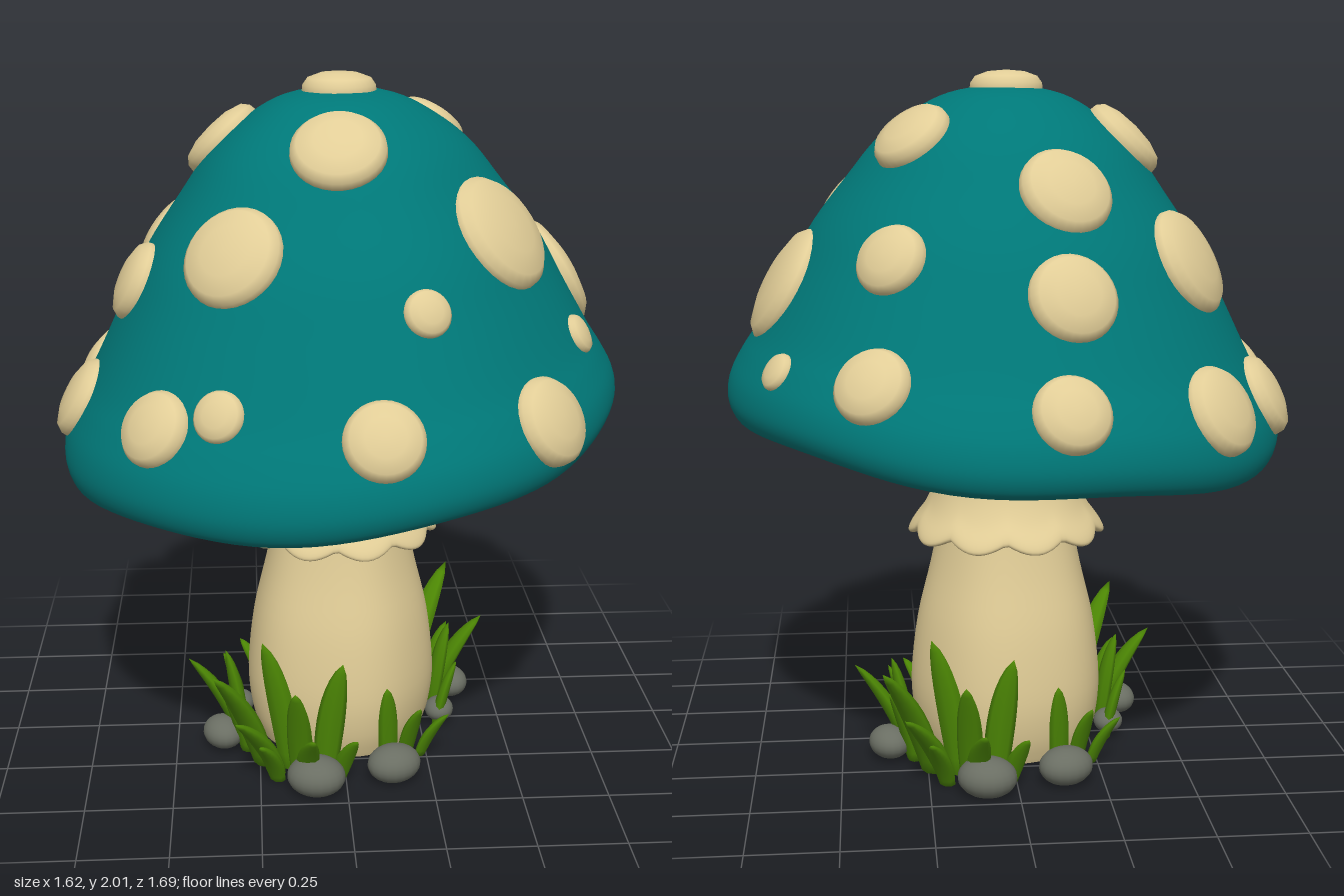
import * as THREE from 'three';
import { mergeVertices } from 'three/addons/utils/BufferGeometryUtils.js';

const V2 = (p) => new THREE.Vector2(p[0], p[1]);
const material = (name, color) => {
  const m = new THREE.MeshStandardMaterial({ color });
  m.name = name;
  return m;
};

// Move every vertex by a rule, then weld and smooth
function warp(geometry, rule) {
  const pos = geometry.attributes.position;
  const v = new THREE.Vector3();
  for (let i = 0; i < pos.count; i++) {
    v.fromBufferAttribute(pos, i);
    rule(v);
    pos.setXYZ(i, v.x, v.y, v.z);
  }
  geometry.deleteAttribute('uv');
  geometry.deleteAttribute('normal');
  const welded = mergeVertices(geometry, 1e-5);
  welded.computeVertexNormals();
  return welded;
}

// Cap: radius r and height h are fractions of a tilted, uneven rim
const TOP = 1.965;
const rimY = (a) => 0.945 + 0.073 * Math.sin(a) - 0.012 * Math.cos(a) - 0.015 * Math.cos(2 * a)
  + 0.009 * Math.cos(6 * (a - 1.34));
const rimR = (a) => 0.822 + 0.02 * Math.cos(2 * a) - 0.016 * Math.sin(2 * a) + 0.006 * Math.sin(5 * a);
function capPoint(a, r, h) {
  const R = rimR(a) * r, y0 = rimY(a);
  return new THREE.Vector3(Math.sin(a) * R, y0 + (TOP - y0) * h, Math.cos(a) * R);
}
const capCurve = new THREE.SplineCurve([
  [0.885, 0.025], [0.9, 0.004], [0.935, -0.003], [0.978, 0.015], [1, 0.065], [0.988, 0.13], [0.945, 0.2], [0.885, 0.28],
  [0.775, 0.45], [0.685, 0.585], [0.565, 0.72], [0.46, 0.83], [0.34, 0.91], [0.2, 0.97], [0, 1],
].map(V2));
const onCap = (a, u) => {
  const p = capCurve.getPoint(u);
  return capPoint(a, p.x, p.y);
};

// Spots: x and z give the bearing, y the height, r the radius
const SPOTS = [
  [-0.34, 1.81, -0.07, 0.125], [-0.02, 1.83, 0.32, 0.13], [0.28, 1.82, -0.23, 0.115], [-0.12, 1.68, -0.44, 0.13],
  [-0.12, 1.42, -0.62, 0.122], [-0.1, 1.15, -0.78, 0.105], [-0.48, 1.48, -0.31, 0.155], [-0.53, 1.11, -0.56, 0.127],
  [-0.7, 1.1, -0.28, 0.118], [-0.72, 1.11, 0.14, 0.118], [-0.57, 1.44, 0.14, 0.115], [-0.31, 1.57, 0.46, 0.142],
  [-0.51, 1.15, 0.58, 0.105], [-0.36, 1.2, 0.69, 0.07], [0.07, 1.17, 0.78, 0.107], [0.18, 1.45, 0.56, 0.065],
  [0.41, 1.6, 0.29, 0.17], [0.52, 1.15, 0.56, 0.122], [0.67, 1.3, 0.25, 0.058], [0.64, 1.41, -0.11, 0.174],
  [0.34, 1.51, -0.5, 0.1], [0.64, 1.21, -0.43, 0.054], [0.4, 1.21, -0.68, 0.105],
];
function spotGeometry(r) {
  const k = Math.min(1.15, r / 0.09);
  const pts = [[0.95, -0.05], [1, -0.008], [0.98, 0.01], [0.85, 0.026], [0.5, 0.036], [0, 0.039]]
    .map(([f, y]) => new THREE.Vector2(f * r, y * k - 0.35 * f * f * r * r));
  return warp(new THREE.LatheGeometry(pts, 32), () => {});
}
function placeSpot(mesh, x, y, z) {
  const a = Math.atan2(x, z);
  let u = 0.32;
  while (u < 0.99 && onCap(a, u).y < y) u += 0.002;
  const e = 0.02;
  const up = onCap(a, u + e).sub(onCap(a, u - e));
  const across = onCap(a + e, u).sub(onCap(a - e, u));
  mesh.position.copy(onCap(a, u));
  mesh.quaternion.setFromUnitVectors(new THREE.Vector3(0, 1, 0), across.cross(up).normalize());
}

// Grass blade: a tapered flat tube bent from base to tip
function bladeGeometry(base, tip, width) {
  const b = new THREE.Vector3(...base), t = new THREE.Vector3(...tip);
  const mid = new THREE.Vector3(b.x + (t.x - b.x) * 0.3, t.y * 0.6, b.z + (t.z - b.z) * 0.3);
  const curve = new THREE.QuadraticBezierCurve3(b, mid, t);
  const out = new THREE.Vector3(b.x, 0, b.z).normalize();
  const side = new THREE.Vector3(out.z, 0, -out.x);
  return warp(new THREE.CylinderGeometry(1, 1, 1, 8, 10), (v) => {
    const s = v.y + 0.5;
    const w = width * (0.6 + 1.2 * s) * Math.pow(Math.max(0, 1 - s), 0.75);
    const tangent = curve.getTangent(s);
    const across = side.clone().addScaledVector(tangent, -side.dot(tangent)).normalize();
    const normal = across.clone().cross(tangent);
    const { x, z } = v;
    v.copy(curve.getPoint(s)).addScaledVector(across, x * w).addScaledVector(normal, z * w * 0.6);
  });
}
const BLADES = [ // base, tip, half width
  [[-0.16, 0, 0.29], [-0.24, 0.41, 0.31], 0.06], [[-0.24, 0, 0.26], [-0.38, 0.35, 0.41], 0.06],
  [[-0.06, 0, 0.33], [-0.01, 0.37, 0.38], 0.056], [[-0.13, 0, 0.35], [-0.15, 0.32, 0.46], 0.052],
  [[-0.2, 0, 0.32], [-0.32, 0.23, 0.46], 0.048], [[-0.12, 0, 0.38], [-0.1, 0.2, 0.52], 0.044],
  [[-0.2, 0, 0.36], [-0.25, 0.16, 0.47], 0.042], [[-0.29, 0, 0.18], [-0.36, 0.22, 0.22], 0.042],
  [[-0.02, 0, 0.36], [0.03, 0.15, 0.43], 0.036],
  [[0.13, 0, 0.29], [0.12, 0.27, 0.34], 0.044], [[0.18, 0, 0.26], [0.22, 0.2, 0.34], 0.04],
  [[0.23, 0, 0.24], [0.31, 0.15, 0.28], 0.034],
  [[0.3, 0, -0.07], [0.35, 0.28, -0.08], 0.048], [[0.3, 0, -0.12], [0.46, 0.28, -0.13], 0.048],
  [[0.3, 0, 0.06], [0.36, 0.21, 0.05], 0.038],
];
const ROCKS = [ // x, z, radius
  [-0.09, 0.43, 0.085], [0.14, 0.37, 0.08], [0.31, 0.04, 0.052], [0.36, -0.15, 0.07],
];

export function createModel() {
  const model = new THREE.Group();
  const teal = material('teal cap', 0x007878);
  const cream = material('cream flesh', 0xe1cd97);
  const green = material('grass green', 0x4c8604);
  const grey = material('stone grey', 0x6a6e63);
  const add = (parent, name, geometry, mat) => {
    const mesh = new THREE.Mesh(geometry, mat);
    mesh.name = name;
    parent.add(mesh);
    return mesh;
  };

  // Cap with rolled lip
  add(model, 'cap', warp(new THREE.LatheGeometry(capCurve.getPoints(70), 96), (v) => {
    v.copy(capPoint(Math.atan2(v.x, v.z), Math.hypot(v.x, v.z), v.y));
  }), teal);

  // Pleated gills, from the stem out to the lip
  const gillProfile = Array.from({ length: 13 }, (_, i) => new THREE.Vector2(0.16 + 0.75 * i / 12, 0));
  add(model, 'gills', warp(new THREE.LatheGeometry(gillProfile, 400), (v) => {
    const a = Math.atan2(v.x, v.z), r = Math.hypot(v.x, v.z), s = (r - 0.16) / 0.75;
    const p = capPoint(a, r, 0);
    const pleat = 0.012 * Math.sin(44 * a + 2.5 * Math.sin(3 * a) * s) * Math.min(1, 3 * s, 5 * (1 - s));
    p.y = THREE.MathUtils.lerp(1.12, rimY(a) + 0.005, s * s) + pleat;
    v.copy(p);
  }), cream);

  // Stem
  const stem = new THREE.SplineCurve([
    [0.25, 0], [0.275, 0.08], [0.285, 0.2], [0.265, 0.38], [0.225, 0.55], [0.2, 0.68], [0.185, 0.82],
    [0.175, 0.95], [0.18, 1.05], [0.215, 1.13],
  ].map(V2)).getPoints(36);
  add(model, 'stem', warp(new THREE.LatheGeometry([new THREE.Vector2(0, 0), new THREE.Vector2(0.249, 0), ...stem], 64), (v) => {
    const f = 1 + 0.015 * Math.sin(5 * Math.atan2(v.x, v.z));
    v.x *= f;
    v.z *= f;
  }), cream);

  // Scalloped skirt around the stem
  const skirt = new THREE.SplineCurve([
    [0.19, 0.7], [0.235, 0.675], [0.268, 0.655], [0.286, 0.66], [0.278, 0.685], [0.242, 0.735], [0.214, 0.8],
    [0.194, 0.89], [0.17, 0.98],
  ].map(V2)).getPoints(32);
  add(model, 'skirt', warp(new THREE.LatheGeometry(skirt, 108), (v) => {
    const a = Math.atan2(v.x, v.z);
    const w = THREE.MathUtils.clamp(1 - (v.y - 0.66) / 0.2, 0, 1);
    const wave = Math.abs(Math.sin(5 * a + 0.4)) - 0.6;
    v.y -= 0.028 * w * wave;
    v.x *= 1 + 0.06 * w * wave;
    v.z *= 1 + 0.06 * w * wave;
  }), cream);

  // Raised spots
  const spots = new THREE.Group();
  spots.name = 'spots';
  model.add(spots);
  add(spots, 'topSpot', spotGeometry(0.105), cream).position.y = TOP - 0.01;
  for (const [x, y, z, r] of SPOTS) placeSpot(add(spots, 'spot', spotGeometry(r), cream), x, y, z);

  // Grass and stones, repeated on the opposite side
  for (const turn of [0, Math.PI]) {
    const tuft = new THREE.Group();
    tuft.name = turn ? 'backUndergrowth' : 'frontUndergrowth';
    tuft.rotation.y = turn;
    model.add(tuft);
    for (const [base, tip, w] of BLADES) add(tuft, 'grassBlade', bladeGeometry(base, tip, w), green);
    for (const [x, z, r] of ROCKS) {
      const rock = add(tuft, 'stone', warp(new THREE.SphereGeometry(r, 20, 14), (v) => {
        v.y = Math.max(-0.045, v.y * 0.68);
        v.z *= 0.85;
      }), grey);
      rock.position.set(x, 0.045, z);
      rock.rotation.y = Math.atan2(x, z);
    }
  }
  return model;
}
